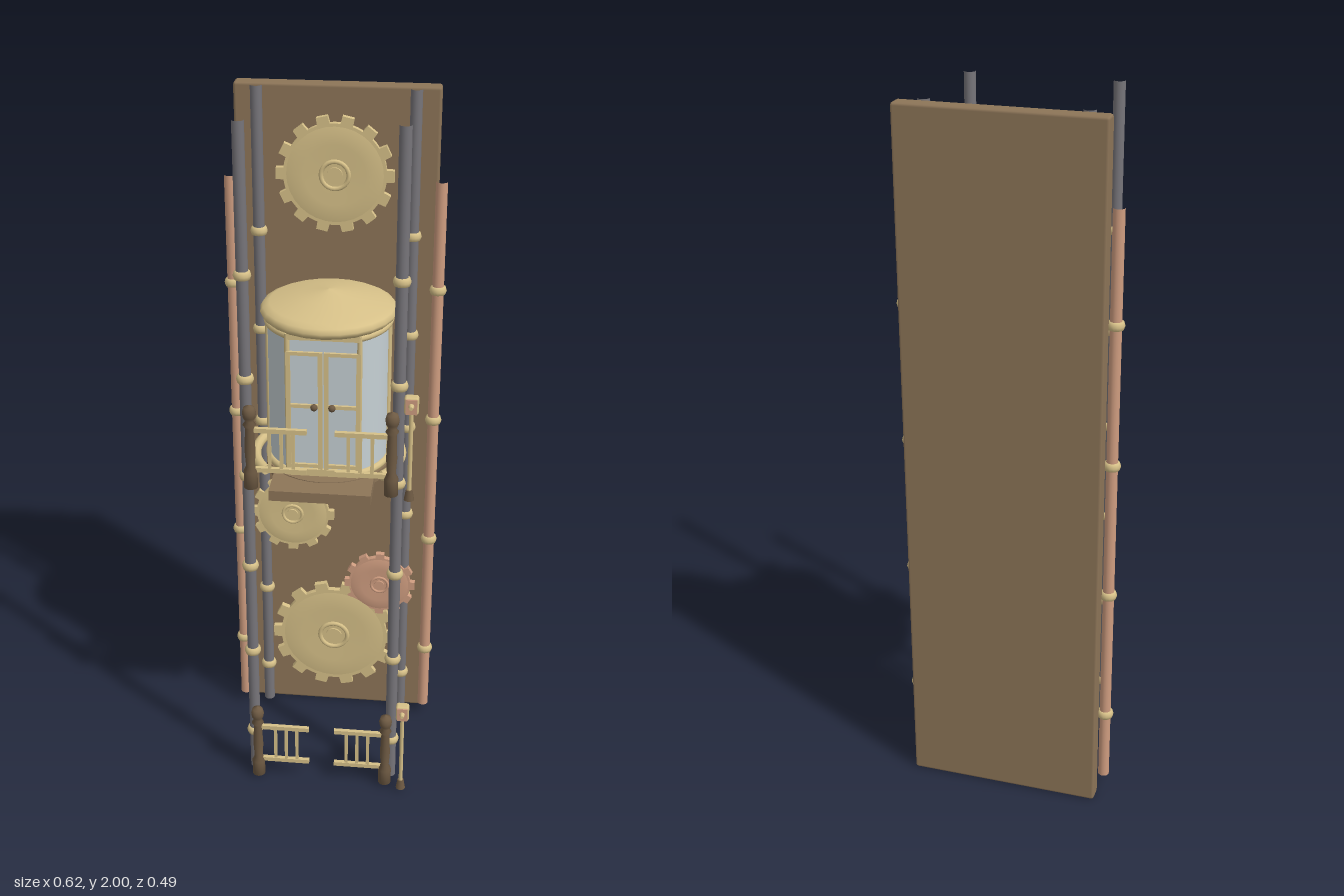
import * as THREE from 'three';
import { RoundedBoxGeometry } from 'three/addons/geometries/RoundedBoxGeometry.js';

const mat = (name, color, side = THREE.FrontSide) => {
  const m = new THREE.MeshStandardMaterial({ color, side });
  m.name = name;
  return m;
};

export function createModel() {
  const root = new THREE.Group();
  root.name = 'gearElevator';
  const wood = mat('panelBrown', 0x8d7558);
  const darkWood = mat('darkBrown', 0x6e5a43);
  const brass = mat('brass', 0xd6c088);
  const copper = mat('copper', 0xcf9d80);
  const steel = mat('steelGrey', 0x77757a);
  const glass = mat('paleGlass', 0xc6d0d4, THREE.DoubleSide);

  const add = (name, geo, material, x = 0, y = 0, z = 0, parent = root) => {
    const m = new THREE.Mesh(geo, material);
    m.name = name;
    m.position.set(x, y, z);
    parent.add(m);
    return m;
  };
  const box = (w, h, d) => new THREE.BoxGeometry(w, h, d);
  const lathe = (pts, seg) => new THREE.LatheGeometry(pts.map(p => new THREE.Vector2(...p)), seg);

  // Back panel with softened edges
  add('backPanel', new RoundedBoxGeometry(0.552, 2, 0.049, 1, 0.008), wood, 0, 1, -0.2225);

  // Rods with rounded brass collars
  const collarGeo = lathe([[0.016, -0.012], [0.021, -0.01], [0.024, 0], [0.021, 0.01], [0.016, 0.012]], 16);
  const rod = (name, material, x, z, y0, y1, collars) => {
    add(name, new THREE.CylinderGeometry(0.016, 0.016, y1 - y0, 16, 1, true), material, x, (y0 + y1) / 2, z);
    collars.forEach(y => add(name + 'Collar', collarGeo, brass, x, y, z));
  };
  const railCollars = [0, 1, 2, 3, 4, 5].map(i => 0.145 + i * 0.291);
  for (const s of [-1, 1]) {
    rod('backGuideRod', steel, s * 0.211, -0.178, 0.01, 2, railCollars);
    rod('frontGuideRod', steel, s * 0.204, 0.157, 0.01, 2, railCollars);
    rod('sidePipe', copper, s * 0.285, -0.163, 0.04, 1.76, [0.254, 0.653, 1.053, 1.452]);
  }

  // Toothed wheels with a gently bulging face and a hub
  const gear = (name, x, y, r, teeth, hub, material) => {
    const g = new THREE.Group();
    g.name = name;
    g.position.set(x, y, -0.172);
    root.add(g);
    const shape = new THREE.Shape();
    const step = (Math.PI * 2) / teeth, inner = r * 0.87;
    for (let i = 0; i < teeth; i++) {
      [[-0.27, inner], [-0.22, r], [0.22, r], [0.27, inner], [0.5, inner]].forEach(([f, rad], k) => {
        const a = (i + f) * step;
        const px = Math.cos(a) * rad, py = Math.sin(a) * rad;
        if (i + k) shape.lineTo(px, py); else shape.moveTo(px, py);
      });
    }
    add('toothedDisc', new THREE.ExtrudeGeometry(shape, { depth: 0.017, bevelEnabled: false }), material, 0, 0, 0, g);
    const face = lathe([[inner * 0.94, 0], [inner * 0.8, 0.003], [inner * 0.6, 0.004], [hub, 0.002], [0, 0.002]], 32);
    face.rotateX(Math.PI / 2);
    add('bulgedFace', face, material, 0, 0, 0.017, g);
    add('hubRing', new THREE.TorusGeometry(hub * 0.85, hub * 0.14, 8, 24), material, 0, 0, 0.019, g);
    const pin = new THREE.CylinderGeometry(hub * 0.5, hub * 0.5, 0.024, 20);
    pin.rotateX(Math.PI / 2);
    add('hubPin', pin, material, 0, 0, 0.012, g);
  };
  gear('topGear', 0, 1.77, 0.16, 14, 0.044, brass);
  gear('middleGear', -0.125, 0.717, 0.125, 12, 0.034, brass);
  gear('copperGear', 0.14, 0.482, 0.108, 12, 0.03, copper);
  gear('bottomGear', 0, 0.285, 0.19, 14, 0.05, brass);

  // Cabin: a round glass drum cut flat at the front for the doors
  const cabin = new THREE.Group();
  cabin.name = 'cabin';
  cabin.position.z = -0.01;
  root.add(cabin);
  const R = 0.165, flatZ = 0.134;
  const gap = Math.acos(flatZ / R), halfW = Math.sin(gap) * R;
  add('curvedGlass', new THREE.CylinderGeometry(R, R, 0.42, 32, 1, true, gap, Math.PI * 2 - 2 * gap), glass, 0, 1.23, 0, cabin);
  add('frontGlass', box(halfW * 2, 0.42, 0.004), glass, 0, 1.23, flatZ - 0.002, cabin);
  const arc = (radius, tube, open) => {
    const g = new THREE.TorusGeometry(radius, tube, 10, 48, Math.PI * 2 - 2 * open);
    g.rotateX(Math.PI / 2);
    g.rotateY(-Math.PI / 2 - open);
    return g;
  };
  for (const y of [1.022, 1.425]) {
    add('cabinRing', arc(R, 0.011, gap), brass, 0, y, 0, cabin);
    add('frontSill', box(halfW * 2, 0.02, 0.018), brass, 0, y, flatZ, cabin);
  }
  for (let i = 0; i < 7; i++) {
    const a = gap + (i / 6) * (Math.PI * 2 - 2 * gap);
    add('mullion', new THREE.CylinderGeometry(0.007, 0.007, 0.41, 8), brass, Math.sin(a) * R, 1.225, Math.cos(a) * R, cabin);
  }
  for (const s of [-1, 1]) add('sideMullion', new THREE.CylinderGeometry(0.007, 0.007, 0.41, 8), brass, s * R, 1.225, 0.01, cabin);

  // Roof cap and floor
  add('roof', lathe([[0, 1.432], [0.172, 1.432], [0.181, 1.44], [0.185, 1.45], [0.178, 1.462], [0.16, 1.471], [0.08, 1.49], [0, 1.505]], 24), brass, 0, 0, 0, cabin);
  add('floorDisc', new THREE.CylinderGeometry(0.175, 0.175, 0.03, 32), wood, 0, 0.996, 0, cabin);
  add('platform', box(0.276, 0.03, 0.35), wood, 0, 0.994, 0.048);

  // Tubular bumper open at the front
  const bumperOpen = THREE.MathUtils.degToRad(51);
  add('bumper', arc(0.204, 0.014, bumperOpen), brass, 0, 1.015, 0, cabin);
  for (const s of [-1, 1]) {
    const cap = new THREE.CircleGeometry(0.014, 12);
    if (s < 0) cap.rotateY(Math.PI);
    const a = s * bumperOpen;
    const c = add('bumperEnd', cap, brass, Math.sin(a) * 0.204, 1.015, Math.cos(a) * 0.204, cabin);
    c.rotation.y = a + (s > 0 ? -Math.PI / 2 : Math.PI / 2) + (s < 0 ? Math.PI : 0);
  }

  // Double doors: brass frames over the glass, with knobs
  for (const s of [-1, 1]) {
    for (const x of [0.008, 0.094]) add('doorStile', box(0.012, 0.35, 0.008), brass, s * x, 1.205, flatZ + 0.004, cabin);
    for (const y of [1.042, 1.222, 1.375]) add('doorRail', box(0.09, 0.01, 0.008), brass, s * 0.051, y, flatZ + 0.004, cabin);
    add('doorKnob', new THREE.SphereGeometry(0.01, 12, 8), darkWood, s * 0.024, 1.222, flatZ + 0.012, cabin);
  }

  // Railings and call posts at the ground and at the cabin level
  const postGeo = lathe([[0, 0], [0.019, 0], [0.019, 0.05], [0.012, 0.065], [0.015, 0.11], [0.012, 0.18], [0.018, 0.19],
    [0.011, 0.2], [0.017, 0.212], [0.019, 0.225], [0.015, 0.24], [0, 0.248]], 16);
  for (const y of [0.008, 1.002]) {
    const level = new THREE.Group();
    level.name = 'landing';
    level.position.y = y;
    root.add(level);
    for (const s of [-1, 1]) {
      add('railPost', postGeo, darkWood, s * 0.19, 0, 0.193, level);
      for (const h of [0.054, 0.173]) add('rail', box(0.145, 0.013, 0.012), brass, s * 0.11, h, 0.19, level);
      for (const x of [0.074, 0.106, 0.138]) add('baluster', box(0.009, 0.12, 0.009), brass, s * x, 0.113, 0.19, level);
    }
    add('callPostBase', new THREE.CylinderGeometry(0.009, 0.014, 0.03, 12), darkWood, 0.24, 0.015, 0.215, level);
    add('callPost', new THREE.CylinderGeometry(0.006, 0.006, 0.24, 10), brass, 0.24, 0.14, 0.215, level);
    add('callBox', new RoundedBoxGeometry(0.038, 0.05, 0.028, 2, 0.007), brass, 0.24, 0.282, 0.215, level);
    add('callPlate', box(0.03, 0.042, 0.004), copper, 0.24, 0.282, 0.23, level);
    const button = new THREE.CylinderGeometry(0.005, 0.008, 0.015, 12);
    button.rotateX(Math.PI / 2);
    add('callButton', button, brass, 0.24, 0.285, 0.2385, level);
  }
  return root;
}
